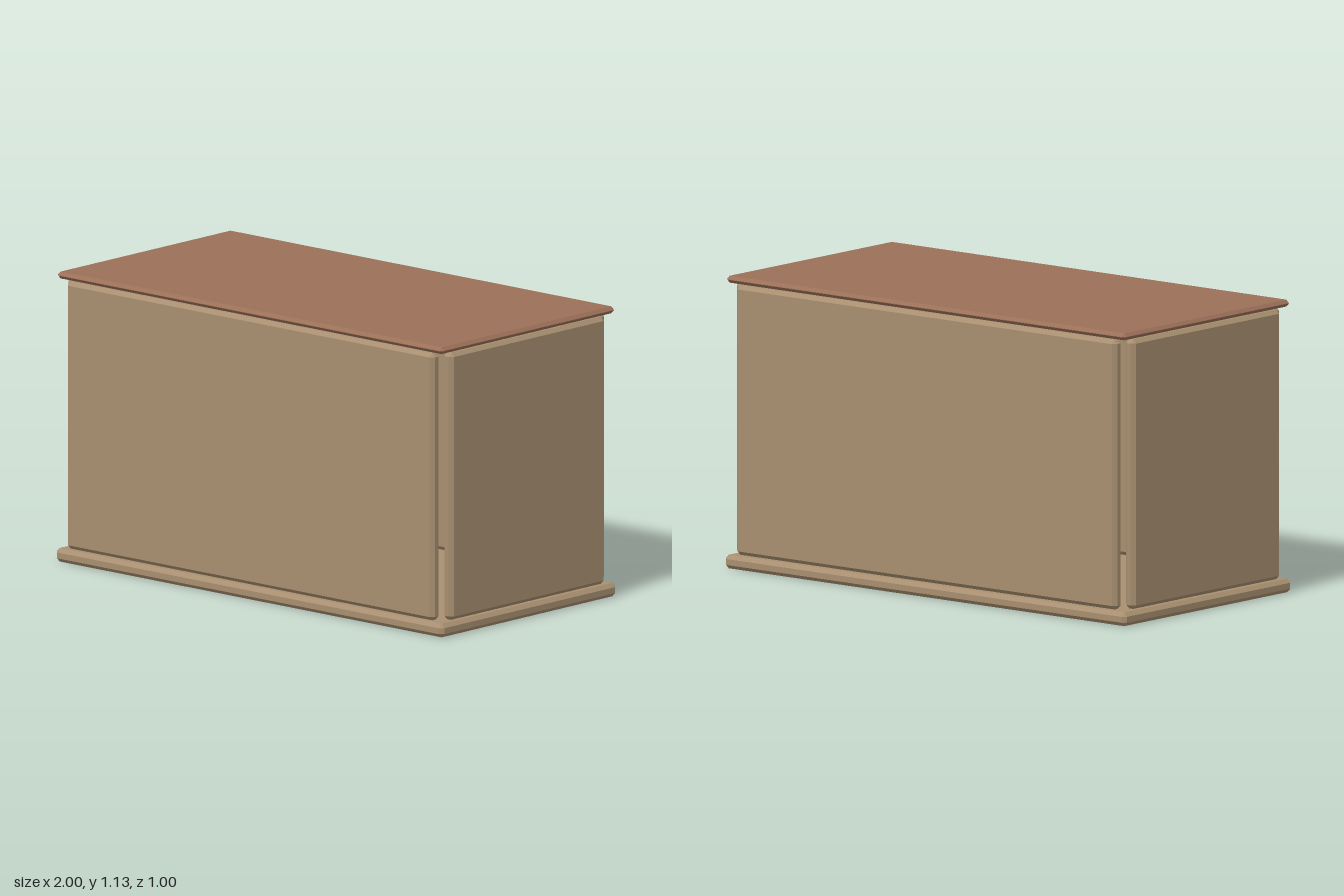
import * as THREE from 'three';
import { ConvexGeometry } from 'three/addons/geometries/ConvexGeometry.js';

// Box with every edge and corner cut flat, as the hull of three points per corner
function chamferedBox(w, h, d, c) {
  const half = new THREE.Vector3(w / 2, h / 2, d / 2);
  const points = [];
  for (const sx of [-1, 1]) for (const sy of [-1, 1]) for (const sz of [-1, 1]) {
    for (const axis of ['x', 'y', 'z']) {
      const p = half.clone().subScalar(c);
      p[axis] = half[axis];
      points.push(p.multiply(new THREE.Vector3(sx, sy, sz)));
    }
  }
  return new ConvexGeometry(points);
}

export function createModel() {
  const model = new THREE.Group();
  model.name = 'crate';
  const wood = new THREE.MeshStandardMaterial({ color: 0xa88f70, flatShading: true });
  const lidWood = new THREE.MeshStandardMaterial({ color: 0x9b7059, flatShading: true });

  function panel(name, size, position, material = wood, chamfer = 0.015) {
    const mesh = new THREE.Mesh(chamferedBox(...size, chamfer), material);
    mesh.name = name;
    mesh.position.set(...position);
    model.add(mesh);
  }

  // Base board
  panel('base', [2, 0.053, 1], [0, 0.0265, 0]);

  // Four separate walls, leaving narrow gaps at the corners
  const wallHeight = 1.046, wallY = 0.581;
  for (const s of [1, -1]) {
    panel(s > 0 ? 'frontWall' : 'backWall', [1.894, wallHeight, 0.05], [0, wallY, s * 0.47]);
    panel(s > 0 ? 'leftWall' : 'rightWall', [0.05, wallHeight, 0.88], [s * 0.97, wallY, 0]);
  }

  // Thin lid floating just above the walls
  panel('lid', [1.99, 0.027, 0.99], [0, 1.1215, 0], lidWood, 0.0125);
  return model;
}
